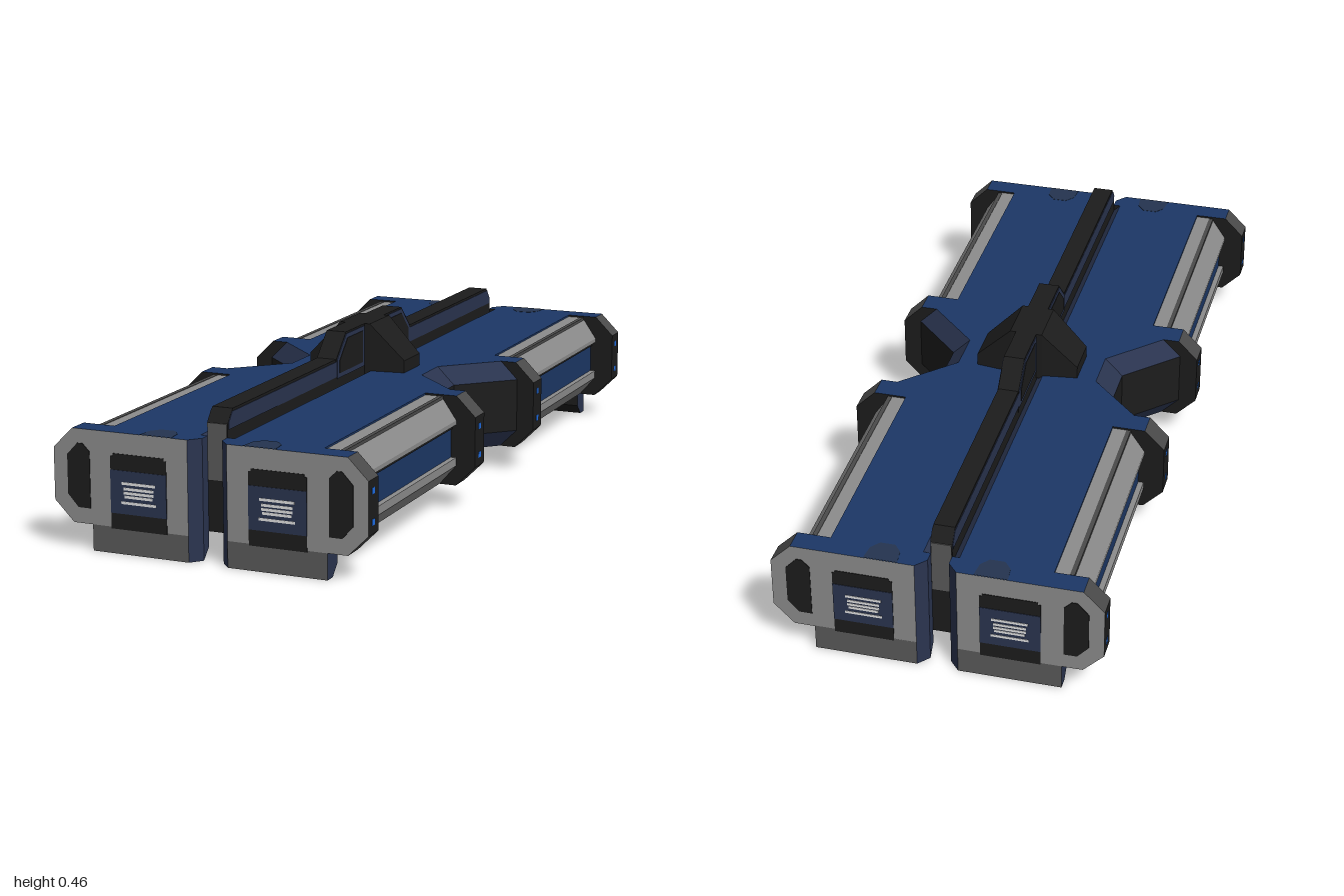
import * as THREE from 'three';
import { ConvexGeometry } from 'three/addons/geometries/ConvexGeometry.js';

const mat = (name, color) => Object.assign(new THREE.MeshStandardMaterial({ color }), { name });

export function createModel() {
  const root = new THREE.Group();
  root.name = 'doubleBarrelCase';
  const blue = mat('blue', 0x1c3766), navy = mat('navy', 0x2a344f), black = mat('black', 0x1c1c1c);
  const gray = mat('gray', 0x8c8c8c), steel = mat('darkGray', 0x4a4a4a), midGray = mat('midGray', 0x5a5a5a);
  const white = mat('offWhite', 0xe2e2e2), led = mat('brightBlue', 0x1f6fe8), patch = mat('slateBlue', 0x24344f);
  const palette = [blue, navy, black, gray, steel, midGray, white, led, patch];

  // Convex solid mirrored by sx and sz; paint is a material, or a rule giving one from the face normal
  function hull(name, pts, paint, sx = 1, sz = 1) {
    const geo = new ConvexGeometry(pts.map(([x, y, z]) => new THREE.Vector3(x * sx, y, z * sz)));
    const mesh = new THREE.Mesh(geo, paint);
    if (typeof paint === 'function') {
      const n = geo.attributes.normal;
      for (let i = 0; i < n.count; i += 3) {
        const m = paint(n.getX(i) * sx, n.getY(i), n.getZ(i) * sz);
        geo.addGroup(i, 3, palette.indexOf(m));
      }
      mesh.material = palette;
    }
    mesh.name = name;
    root.add(mesh);
  }
  // Extends an x, y section between two depths
  const prism = (sec, z0, z1) => sec.flatMap(([x, y]) => [[x, y, z0], [x, y, z1]]);
  const block = (x0, x1, y0, y1, z0, z1) => prism([[x0, y0], [x1, y0], [x1, y1], [x0, y1]], z0, z1);
  // Extends a y, z outline between two widths
  const slab = (outline, x0, x1) => outline.flatMap(([y, z]) => [[x0, y, z], [x1, y, z]]);

  // Colour rules
  const bodyPaint = (x, y) => y > 0.9 ? blue : y < -0.3 ? black : x < -0.3 ? navy : blue;
  const capPaint = (x, y, z) => z > 0.9 ? gray : y > 0.9 ? blue : x < -0.3 ? navy
    : x > 0.3 && Math.abs(y) > 0.3 ? steel : black;
  const collarPaint = (x, y) => y > 0.9 ? blue : x > 0.3 && Math.abs(y) > 0.3 ? steel : black;
  const waistPaint = (x, y) => y > 0.9 ? blue : y < -0.9 ? black : Math.abs(y) > 0.3 ? navy : black;
  const footPaint = (x, y, z) => z > 0.9 ? midGray : Math.abs(x) > 0.3 ? navy : black;

  const capOuter = [[0.385, 0.32], [0.44, 0.265], [0.44, 0.125], [0.385, 0.07]];
  const waistAt = (dx, z) => [[0.2 + dx, 0.32, z], [0.25 + dx, 0.27, z], [0.25 + dx, 0.12, z], [0.2 + dx, 0.07, z],
    [0.1, 0.07, z], [0.1, 0.32, z]];

  for (const sx of [1, -1]) {
    // Inner half of the body, bevelled along the centre channel
    hull('innerBody', prism([[0.028, 0.07], [0.028, 0.3], [0.048, 0.32], [0.2, 0.32], [0.2, 0.07]], -0.94, 0.94), bodyPaint, sx);
    hull('waistCentre', [...waistAt(0, -0.06), ...waistAt(0, 0.06)], waistPaint, sx);

    for (const sz of [1, -1]) {
      const add = (name, pts, paint) => hull(name, pts, paint, sx, sz);
      add('waistFlare', [...waistAt(0, 0.06), ...waistAt(0.14, 0.2)], waistPaint);

      // Outer body with its two gray rails
      add('outerBody', prism([[0.19, 0.07], [0.32, 0.07], [0.37, 0.125], [0.37, 0.24], [0.19, 0.24]], 0.26, 0.94), bodyPaint);
      add('outerDeck', block(0.19, 0.295, 0.2, 0.32, 0.2, 0.94), bodyPaint);
      add('upperRail', prism([[0.29, 0.24], [0.29, 0.315], [0.335, 0.315], [0.347, 0.307], [0.385, 0.252], [0.385, 0.24]], 0.265, 0.94), gray);
      add('railGroove', block(0.334, 0.346, 0.3, 0.3165, 0.27, 0.93), steel);
      add('railShadowLine', block(0.36, 0.374, 0.228, 0.24, 0.265, 0.94), black);
      add('lowerRail', prism([[0.3, 0.0705], [0.338, 0.0705], [0.385, 0.125], [0.385, 0.148], [0.3, 0.148]], 0.265, 0.94), gray);

      // Collar beside the waist
      add('collar', prism([[0.19, 0.32], ...capOuter, [0.19, 0.07]], 0.2, 0.268), collarPaint);

      // End cap and foot
      add('endCap', [...prism(capOuter, 0.935, 0.996), ...slab([[0.07, 0.996], [0.32, 0.996]], 0.055, 0.06),
        ...slab([[0.07, 0.965], [0.32, 0.965], [0.07, 0.935], [0.32, 0.935]], 0.028, 0.06)], capPaint);
      add('foot', [...block(0.055, 0.33, 0.03, 0.072, 0.935, 0.996), ...block(0.055, 0.33, 0, 0.03, 0.965, 0.996),
        [0.028, 0.072, 0.965], [0.028, 0, 0.965], [0.028, 0.03, 0.935], [0.028, 0.072, 0.935]], footPaint);

      // Painted details on the end face
      add('facePanel', block(0.115, 0.275, 0.066, 0.258, 0.99, 0.9975), black);
      add('facePanelTop', block(0.122, 0.268, 0.25, 0.265, 0.99, 0.9975), black);
      add('faceInset', block(0.115, 0.275, 0.108, 0.222, 0.99, 0.9988), navy);
      for (const [y, w] of [[0.189, 0.096], [0.175, 0.086], [0.164, 0.086], [0.154, 0.08], [0.138, 0.1]])
        add('faceStripe', block(0.194 - w / 2, 0.194 + w / 2, y - 0.0035, y + 0.0035, 0.992, 1), white);
      add('sideSlot', prism([[0.335, 0.112], [0.37, 0.112], [0.4, 0.145], [0.4, 0.25], [0.37, 0.282], [0.355, 0.282], [0.335, 0.262]], 0.99, 0.998), black);

      // Deck patch and side lamps
      add('deckPatch', [[0.1, 0.995], [0.19, 0.995], [0.185, 0.95], [0.165, 0.925], [0.125, 0.925], [0.105, 0.95]]
        .flatMap(([x, z]) => [[x, 0.317, z], [x, 0.3208, z]]), patch);
      for (const z of [0.966, 0.234]) for (const y of [0.155, 0.235])
        add('sideLamp', block(0.436, 0.441, y - 0.008, y + 0.008, z - 0.008, z + 0.008), led);

      // Navy sides of the spine, and its raised middle with a dark inset
      add('spinePanel', slab([[0.34, 0.93], [0.34, 0.24], [0.383, 0.24], [0.383, 0.91], [0.358, 0.93]], 0.024, 0.03), navy);
      add('humpPanel', slab([[0.335, 0.075], [0.335, 0.262], [0.388, 0.262], [0.45, 0.2], [0.45, 0.075]], 0.026, 0.031), navy);
      add('humpInset', slab([[0.348, 0.088], [0.348, 0.248], [0.384, 0.248], [0.438, 0.194], [0.438, 0.088]], 0.028, 0.0325), black);
    }
  }

  // Central spine, raised middle and cross bridge
  const spineSide = (outline, w) => slab(outline.flatMap(([y, z]) => [[y, z], [y, -z]]), -w, w);
  hull('spine', spineSide([[0.07, 0.935], [0.355, 0.935], [0.39, 0.905]], 0.0285), black);
  hull('spineHump', spineSide([[0.3, 0.268], [0.388, 0.268], [0.455, 0.2]], 0.029), black);
  const bridge = [];
  for (const sx of [1, -1]) for (const sz of [1, -1])
    bridge.push([0.145 * sx, 0.31, 0.057 * sz], [0.145 * sx, 0.355, 0.057 * sz],
      [0.045 * sx, 0.31, 0.07 * sz], [0.045 * sx, 0.455, 0.07 * sz]);
  hull('bridge', bridge, black);
  for (const sz of [1, -1])
    hull('spineEndPlate', block(-0.027, 0.027, 0.205, 0.355, 0.932, 0.938), midGray, 1, sz);

  return root;
}
